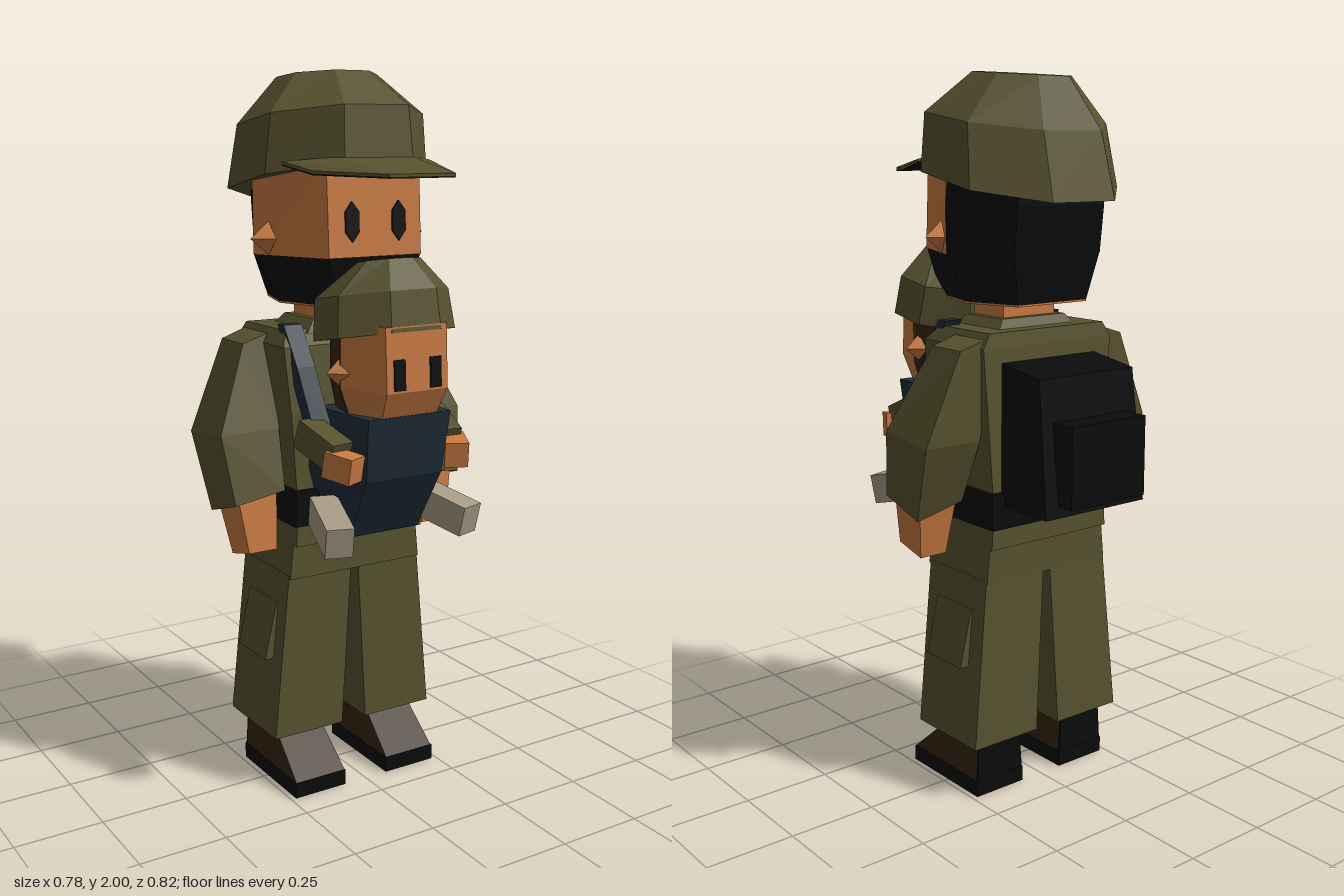
import * as THREE from 'three';

const mat = (name, color) => {
  const m = new THREE.MeshStandardMaterial({ color });
  m.name = name;
  return m;
};

// Symmetric ring: [x, z] pairs on the +x side, front to back; y is a number or a rule of z
const half = (y, pts) => {
  const h = typeof y === 'function' ? y : () => y;
  const right = pts.map(([x, z]) => [x, h(z), z]);
  return [...right, ...right.map(([x, a, z]) => [-x, a, z]).reverse()];
};

// Rectangular ring; the front and back edges may have different heights
const rect = (x0, x1, zFront, zBack, yFront, yBack = yFront) => [
  [x1, yFront, zFront], [x1, yBack, zBack], [x0, yBack, zBack], [x0, yFront, zFront]];

// Eight-sided ring tilted from front to back
const octagon = (rx, zFront, zBack, yFront, yBack) => {
  const cz = (zFront + zBack) / 2, rz = (zFront - zBack) / 2, k = 0.414;
  return half(z => yBack + (yFront - yBack) * (z - zBack) / (zFront - zBack),
    [[rx * k, cz + rz], [rx, cz + rz * k], [rx, cz - rz * k], [rx * k, cz - rz]]);
};

// Faceted solid through rings (counterclockwise from above, bottom to top)
function loft(rings) {
  const p = [], n = rings[0].length, tri = (a, b, c) => p.push(...a, ...b, ...c);
  for (let r = 0; r < rings.length - 1; r++) {
    for (let i = 0; i < n; i++) {
      const j = (i + 1) % n, a = rings[r], b = rings[r + 1];
      tri(a[i], a[j], b[j]);
      tri(a[i], b[j], b[i]);
    }
  }
  const lo = rings[0], hi = rings[rings.length - 1];
  for (let i = 1; i < n - 1; i++) {
    tri(hi[0], hi[i], hi[i + 1]);
    tri(lo[0], lo[i + 1], lo[i]);
  }
  const g = new THREE.BufferGeometry();
  g.setAttribute('position', new THREE.Float32BufferAttribute(p, 3));
  g.computeVertexNormals();
  return g;
}

// Swap sides in x and turn the triangles back outwards
function mirror(geometry) {
  const g = geometry.clone();
  const a = g.attributes.position;
  for (let i = 0; i < a.count; i += 3) {
    const t = [0, 1, 2].map(k => [-a.getX(i + k), a.getY(i + k), a.getZ(i + k)]);
    a.setXYZ(i, ...t[0]);
    a.setXYZ(i + 1, ...t[2]);
    a.setXYZ(i + 2, ...t[1]);
  }
  g.computeVertexNormals();
  return g;
}

export function createModel() {
  const model = new THREE.Group();
  model.name = 'manCarryingChild';
  const olive = mat('olive cloth', 0x57522f), skin = mat('skin', 0xc87a42);
  const black = mat('black', 0x0b0b0b), navy = mat('navy cloth', 0x1f2c38);
  const brown = mat('dark brown', 0x35230f), beige = mat('beige shoe', 0xa79a86);

  const add = (name, geometry, material) => {
    const m = new THREE.Mesh(geometry, material);
    m.name = name;
    model.add(m);
  };
  const pair = (name, geometry, material) => {
    add(name + 'Left', geometry, material);
    add(name + 'Right', mirror(geometry), material);
  };
  const block = (w, h, d, x, y, z, rx = 0, ry = 0) => {
    const g = new THREE.BoxGeometry(w, h, d).toNonIndexed();
    g.rotateX(rx).rotateY(ry).translate(x, y, z);
    return g;
  };
  const ear = (x, y, z, h, r) => {
    const g = new THREE.ConeGeometry(r, h, 4).toNonIndexed();
    g.rotateZ(-Math.PI / 2).translate(x, y, z);
    g.computeVertexNormals();
    return g;
  };

  // Boots with black soles and heels
  pair('sole', loft([rect(0.07, 0.235, 0.165, -0.14, 0), rect(0.07, 0.235, 0.165, -0.14, 0.045)]), black);
  pair('boot', loft([rect(0.072, 0.232, 0.163, -0.132, 0.045), rect(0.08, 0.225, 0.02, -0.13, 0.17)]), brown);
  pair('bootHeel', loft([rect(0.072, 0.232, -0.132, -0.139, 0.045), rect(0.08, 0.225, -0.13, -0.137, 0.17)]), black);

  // Trousers and thigh pockets
  pair('trouserLeg', loft([rect(0.04, 0.262, 0.098, -0.168, 0.16), rect(0.012, 0.215, 0.1, -0.16, 0.64)]), olive);
  pair('thighPocket', loft([rect(0.2, 0.267, 0.05, -0.108, 0.385), rect(0.2, 0.228, 0.05, -0.108, 0.55)]), olive);
  add('hips', loft([rect(-0.215, 0.215, 0.107, -0.163, 0.63), rect(-0.2, 0.2, 0.107, -0.163, 0.78)]), olive);

  // Jacket, belt and collar
  add('jacket', loft([rect(-0.207, 0.207, 0.13, -0.175, 0.73), rect(-0.2, 0.2, 0.125, -0.175, 0.85),
    rect(-0.215, 0.215, 0.12, -0.17, 1.1), rect(-0.225, 0.225, 0.1, -0.165, 1.28),
    rect(-0.2, 0.2, 0.06, -0.16, 1.32)]), olive);
  add('belt', block(0.43, 0.1, 0.33, 0, 0.84, -0.025), black);
  add('collar', loft([rect(-0.14, 0.14, 0.08, -0.12, 1.31), rect(-0.11, 0.11, 0.06, -0.1, 1.345)]), olive);

  // Bent sleeves and hands
  pair('sleeve', loft([
    [[0.37, 0.86, 0.088], [0.37, 0.815, -0.06], [0.22, 0.85, -0.06], [0.22, 0.885, 0.09]],
    [[0.392, 1.05, 0.05], [0.392, 1.03, -0.135], [0.215, 1.03, -0.135], [0.215, 1.05, 0.05]],
    [[0.285, 1.28, -0.02], [0.285, 1.28, -0.145], [0.19, 1.31, -0.155], [0.19, 1.31, -0.02]]]), olive);
  pair('hand', loft([rect(0.245, 0.33, 0.085, -0.015, 0.72, 0.695), rect(0.235, 0.355, 0.07, -0.05, 0.88, 0.85)]), skin);

  // Neck, face, beard and hair
  const faceLow = [[0.145, 0.2], [0.243, -0.03]], jaw = [[0.11, 0.18], [0.17, -0.02], [0.12, -0.18]];
  add('neck', loft([rect(-0.09, 0.09, 0.05, -0.08, 1.3), rect(-0.09, 0.09, 0.05, -0.08, 1.4)]), skin);
  add('chinUnderside', loft([half(1.385, jaw), half(1.391, jaw)]), skin);
  add('face', loft([half(1.52, faceLow), half(1.75, [[0.145, 0.187], [0.245, -0.03]])]), skin);
  add('beard', loft([half(1.39, jaw), half(1.522, [[0.145, 0.197], [0.243, -0.03], [0.15, -0.2]])]), black);
  add('hair', loft([half(1.52, [[0.243, -0.03], [0.15, -0.2]]), half(1.65, [[0.245, -0.03], [0.15, -0.215]]),
    half(1.78, [[0.235, -0.03], [0.15, -0.215]])]), black);
  pair('ear', ear(0.25, 1.565, 0.017, 0.055, 0.045), skin);
  const eye = new THREE.CylinderGeometry(0.053, 0.053, 0.008, 6).toNonIndexed();
  eye.rotateX(Math.PI / 2).scale(0.46, 1, 1).rotateX(-0.05).translate(0.073, 1.612, 0.196);
  pair('eye', eye, black);

  // Cap with a drooping visor, black underneath
  add('cap', loft([octagon(0.257, 0.215, -0.303, 1.765, 1.66), octagon(0.24, 0.2, -0.255, 1.91, 1.84),
    octagon(0.128, 0.08, -0.178, 2.0, 1.98)]), olive);
  const visorSide = [[0.1, 1.733, 0.41], [0.205, 1.738, 0.22], [0.233, 1.76, 0.11], [0.11, 1.772, 0.2]];
  const visorMiddle = [[0, 1.733, 0.41], [0.1, 1.733, 0.41], [0.11, 1.772, 0.2], [0, 1.772, 0.2]];
  for (const [name, outline] of [['visorSide', visorSide], ['visorMiddle', visorMiddle]]) {
    const layer = lift => outline.map(([x, y, z]) => [x, y + lift, z]);
    pair(name, loft([layer(0), layer(0.007)]), olive);
    pair(name + 'Underside', loft([layer(-0.004), layer(0)]), black);
  }

  // Backpack
  add('backpack', loft([rect(-0.175, 0.175, -0.16, -0.362, 0.85), rect(-0.165, 0.165, -0.16, -0.32, 1.24, 1.215)]), black);
  add('backpackPocket', loft([rect(-0.13, 0.13, -0.33, -0.41, 0.88), rect(-0.13, 0.13, -0.3, -0.41, 1.1)]), black);

  // Child carrier and shoulder straps
  add('carrier', loft([half(0.775, [[0.11, 0.25], [0.12, 0.12]]), half(0.95, [[0.12, 0.345], [0.165, 0.115]]),
    half(1.12, [[0.13, 0.368], [0.14, 0.13]])]), navy);
  pair('carrierStrap', loft([rect(0.14, 0.195, 0.21, 0.16, 1.06), rect(0.15, 0.205, 0.135, 0.09, 1.23),
    rect(0.15, 0.205, 0.065, 0.03, 1.335)]), navy);

  // Child's head
  add('childFace', loft([half(1.11, [[0.085, 0.36], [0.12, 0.26]]), half(1.19, [[0.095, 0.4], [0.15, 0.26]]),
    half(1.36, [[0.095, 0.39], [0.15, 0.26]])]), skin);
  add('childHair', loft([half(1.1, [[0.12, 0.262], [0.09, 0.15]]), half(1.19, [[0.15, 0.262], [0.1, 0.13]]),
    half(1.36, [[0.15, 0.262], [0.1, 0.13]])]), brown);
  pair('childEar', ear(0.163, 1.23, 0.25, 0.045, 0.04), skin);
  pair('childEye', block(0.034, 0.08, 0.008, 0.056, 1.236, 0.398, -0.06), black);
  add('childCap', loft([octagon(0.185, 0.392, 0.1, 1.345, 1.29), octagon(0.172, 0.375, 0.085, 1.45, 1.4),
    octagon(0.085, 0.315, 0.21, 1.525, 1.505)]), olive);

  // Child's arms and feet
  pair('childSleeve', block(0.07, 0.08, 0.14, 0.187, 1.04, 0.235, 0.35, -0.2), olive);
  pair('childHand', block(0.065, 0.07, 0.085, 0.178, 0.997, 0.322, 0.15, -0.45), skin);
  pair('childFoot', block(0.075, 0.085, 0.19, 0.183, 0.823, 0.27, 0.22, 0.3), beige);

  return model;
}
